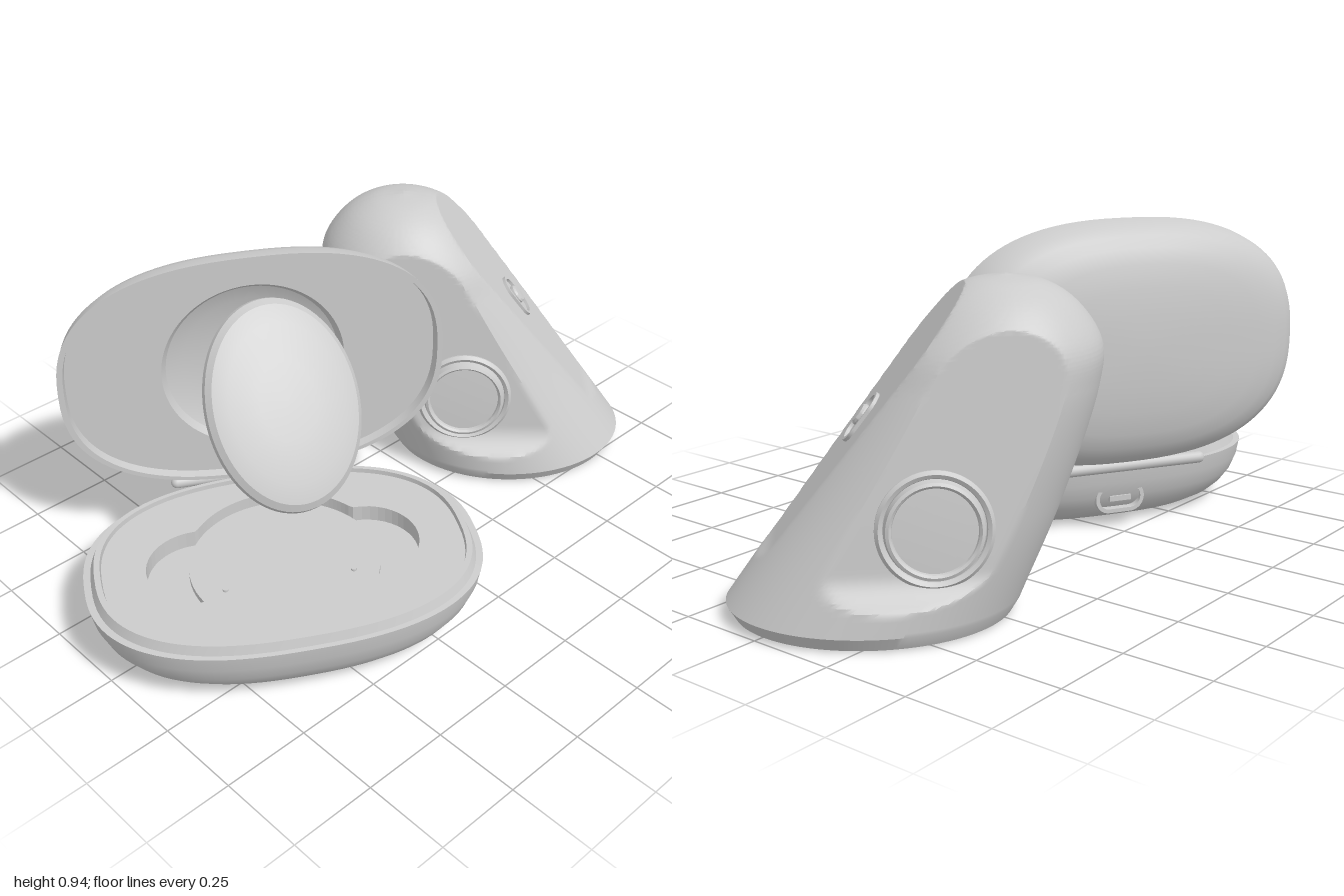
import * as THREE from 'three';
import { toCreasedNormals } from 'three/addons/utils/BufferGeometryUtils.js';

const material = new THREE.MeshStandardMaterial({ color: 0xcccccc });
const V = (x, y, z) => new THREE.Vector3(x, y, z);

function add(parent, name, geometry, position = [0, 0, 0], rotation = [0, 0, 0]) {
  const mesh = new THREE.Mesh(geometry, material);
  mesh.name = name;
  mesh.position.set(...position);
  mesh.rotation.set(...rotation);
  parent.add(mesh);
}

// Skin a stack of closed rings that all have the same point count
function loft(rings, crease = 0.4) {
  const n = rings[0].length, index = [];
  for (let i = 0; i < rings.length - 1; i++) {
    for (let j = 0; j < n; j++) {
      const k = (j + 1) % n, a = i * n, b = a + n;
      index.push(a + j, b + j, a + k, b + j, b + k, a + k);
    }
  }
  const g = new THREE.BufferGeometry().setFromPoints(rings.flat());
  g.setIndex(index);
  return toCreasedNormals(g, crease);
}

// Superellipse outline with half axes a, b and exponent n at height y
function oval(a, b, n, y, count = 96) {
  return Array.from({ length: count }, (_, i) => {
    const t = (i / count) * Math.PI * 2, c = Math.cos(t), s = Math.sin(t);
    return V(a * Math.sign(c) * Math.abs(c) ** (2 / n), y, b * Math.sign(s) * Math.abs(s) ** (2 / n));
  });
}

// Capsule outline, w wide and h high
function capsule(w, h, PathType = THREE.Shape) {
  const r = Math.min(w, h) / 2, dx = w / 2 - r, dy = h / 2 - r;
  const p = new PathType();
  p.absarc(dx, dy, r, 0, Math.PI / 2);
  p.absarc(-dx, dy, r, Math.PI / 2, Math.PI);
  p.absarc(-dx, -dy, r, Math.PI, Math.PI * 1.5);
  p.absarc(dx, -dy, r, Math.PI * 1.5, Math.PI * 2);
  p.closePath();
  return p;
}

function capsuleRing(w, h, wall, depth) {
  const s = capsule(w, h);
  s.holes.push(capsule(w - 2 * wall, h - 2 * wall, THREE.Path));
  return new THREE.ExtrudeGeometry(s, { depth, bevelEnabled: false, curveSegments: 12 });
}

function lathe(points, crease = 0.4) {
  return toCreasedNormals(new THREE.LatheGeometry(points.map(p => new THREE.Vector2(...p)), 72), crease);
}

function createCase() {
  const group = new THREE.Group();
  group.name = 'openCase';
  const A = 0.555, B = 0.38, N = 2.5;

  // Lower shell with stepped lip
  add(group, 'caseBase', loft([
    [0.001, 0], [0.6, 0.002], [0.75, 0.012], [0.84, 0.034], [0.9, 0.06], [0.95, 0.095], [0.985, 0.14],
    [1, 0.185], [0.965, 0.186], [0.945, 0.213], [0.915, 0.213], [0.905, 0.15], [0.001, 0.15]
  ].map(([k, y]) => oval(A * k, B * k, N, y))));

  // Tray plate with a round pocket and two side lobes
  const plate = new THREE.Shape(oval(A * 0.91, B * 0.91, N, 0).map(p => new THREE.Vector2(p.x, p.z)));
  const pocket = [];
  for (let i = 0; i < 120; i++) {
    const t = (i / 120) * Math.PI * 2, c = 0.235 * Math.abs(Math.cos(t)), s = 0.235 * Math.sin(t);
    const root = 0.15 ** 2 - s * s;
    const r = Math.max(0.272, root > 0 ? c + Math.sqrt(root) : 0);
    pocket.push(new THREE.Vector2(r * Math.cos(t), r * Math.sin(t)));
  }
  plate.holes.push(new THREE.Path(pocket));
  add(group, 'trayPlate', new THREE.ExtrudeGeometry(plate, { depth: 0.055, bevelEnabled: false }),
    [0, 0.145, 0], [-Math.PI / 2, 0, 0]);
  add(group, 'pebbleSeat', new THREE.CylinderGeometry(0.268, 0.268, 0.02, 72), [0, 0.157, 0]);
  for (const x of [-0.18, 0.18]) {
    add(group, 'chargingPin', new THREE.CylinderGeometry(0.008, 0.008, 0.01, 12), [x, 0.168, 0.08]);
  }

  // Upright lid: domed back, rim, flat liner and round dish
  const lid = [[0.001, -0.01], [0.3, -0.006], [0.5, 0.002], [0.68, 0.014], [0.8, 0.03], [0.89, 0.052], [0.95, 0.08],
    [0.985, 0.115], [1, 0.155], [0.97, 0.155], [0.96, 0.128]].map(([k, y]) => oval(A * k, 0.366 * k, N, y));
  for (const [r, y] of [[0.265, 0.128], [0.25, 0.108], [0.2, 0.085], [0.1, 0.07], [0.001, 0.067]]) {
    lid.push(oval(r, r, 2, y));
  }
  add(group, 'caseLid', loft(lid), [0, 0.574, -0.52], [Math.PI / 2, 0, 0]);

  // Hinge
  add(group, 'hingeBar', new THREE.CapsuleGeometry(0.018, 0.5, 6, 16), [0, 0.2, -0.392], [0, 0, Math.PI / 2]);

  // Charging port at the back
  add(group, 'portFrame', capsuleRing(0.16, 0.09, 0.012, 0.03), [0, 0.09, -0.366]);
  add(group, 'portTongue', new THREE.BoxGeometry(0.07, 0.016, 0.03), [0, 0.09, -0.353]);

  group.position.set(-0.465, 0, 0.105);
  group.rotation.y = -Math.PI / 6;
  return group;
}

// Floating oval pebble, domed in front and hollow behind
function createPebble() {
  const pebble = new THREE.Group();
  pebble.name = 'pebble';
  add(pebble, 'pebbleShell', lathe([
    [0, -0.018], [0.19, -0.018], [0.195, -0.036], [0.24, -0.038], [0.256, -0.028], [0.265, -0.008],
    [0.262, 0.01], [0.245, 0.027], [0.2, 0.041], [0.1, 0.052], [0, 0.055]
  ]));
  for (const x of [-0.07, 0.07]) {
    add(pebble, 'contactPad', new THREE.ExtrudeGeometry(capsule(0.1, 0.05), { depth: 0.012, bevelEnabled: false }),
      [x, -0.016, 0.12], [Math.PI / 2, 0, 0]);
  }
  add(pebble, 'backSensor', new THREE.CylinderGeometry(0.05, 0.05, 0.016, 32), [0, -0.022, -0.04]);

  // Local y is the face direction, local z the long axis
  const face = V(-0.25, 0.59, 0.77).normalize();
  const across = V(0, 0, 0).crossVectors(face, V(0.247, 0.803, -0.541)).normalize();
  const along = V(0, 0, 0).crossVectors(across, face);
  pebble.quaternion.setFromRotationMatrix(new THREE.Matrix4().makeBasis(across, face, along));
  pebble.scale.set(0.81, 1, 1.09);
  pebble.position.set(-0.42, 0.663, 0.075);
  return pebble;
}

function createLeaningDevice() {
  const group = new THREE.Group();
  group.name = 'leaningDevice';
  const { lerp, clamp } = THREE.MathUtils;

  // Centre offset, height and radius along the leaning axis
  const spine = new THREE.CatmullRomCurve3([
    V(0, 0.04, 0.355), V(-0.145, 0.3, 0.327), V(-0.29, 0.6, 0.285), V(-0.322, 0.7, 0.258),
    V(-0.337, 0.8, 0.18), V(-0.34, 0.85, 0.1), V(-0.34, 0.87, 0.001)
  ]);
  const stations = [V(0, 0.005, 0.001), V(0, 0.005, 0.335), ...spine.getPoints(150)];

  // Oval sections flattened at both sides and along the sloped front
  const rings = stations.map(({ x: c, y, z: r }) => {
    const t = Math.min(y / 0.6, 1);
    const a = r * lerp(0.915, 0.96, t), b = r * lerp(1.08, 1.03, t);
    const side = 0.25 - 0.09 * (y - 0.3) + 8 * Math.max(0, 0.18 - y) ** 2;
    const front = 0.255 - 0.76 * (y - 0.2) + 6 * Math.max(0, 0.2 - y) ** 2;
    return Array.from({ length: 160 }, (_, i) => {
      const angle = (i / 160) * Math.PI * 2;
      return V(clamp(a * Math.cos(angle), -side, side), y, Math.min(c + b * Math.sin(angle), front));
    });
  });
  add(group, 'deviceBody', loft(rings, 0.5));

  // Round dial on each side panel
  for (const s of [-1, 1]) {
    const dial = new THREE.Group();
    dial.name = s > 0 ? 'leftDial' : 'rightDial';
    dial.position.set(s * 0.246, 0.285, -0.143);
    dial.rotation.set(-0.09, s * Math.PI / 2, 0, 'YXZ');
    add(dial, 'dialRing', lathe([
      [0.148, -0.03], [0.147, 0.01], [0.138, 0.02], [0.128, 0.014], [0.126, 0.008],
      [0.121, 0.03], [0.113, 0.034], [0.107, 0.028], [0.105, 0.02], [0, 0.024]
    ]), [0, 0, 0], [Math.PI / 2, 0, 0]);
    group.add(dial);
  }

  // Button in a capsule frame on the sloped front
  const button = new THREE.Group();
  button.name = 'frontButton';
  button.position.set(0, 0.505, 0.022);
  button.rotation.x = -0.65;
  add(button, 'buttonFrame', capsuleRing(0.09, 0.15, 0.01, 0.01));
  add(button, 'buttonKnob', lathe([[0.03, 0], [0.03, 0.012], [0.025, 0.018], [0, 0.02]]),
    [0, 0.005, 0], [Math.PI / 2, 0, 0]);
  group.add(button);

  group.position.set(0.645, 0, -0.07);
  group.rotation.y = Math.PI / 4;
  return group;
}

export function createModel() {
  const model = new THREE.Group();
  model.name = 'caseAndDevice';
  model.add(createCase(), createPebble(), createLeaningDevice());
  return model;
}
